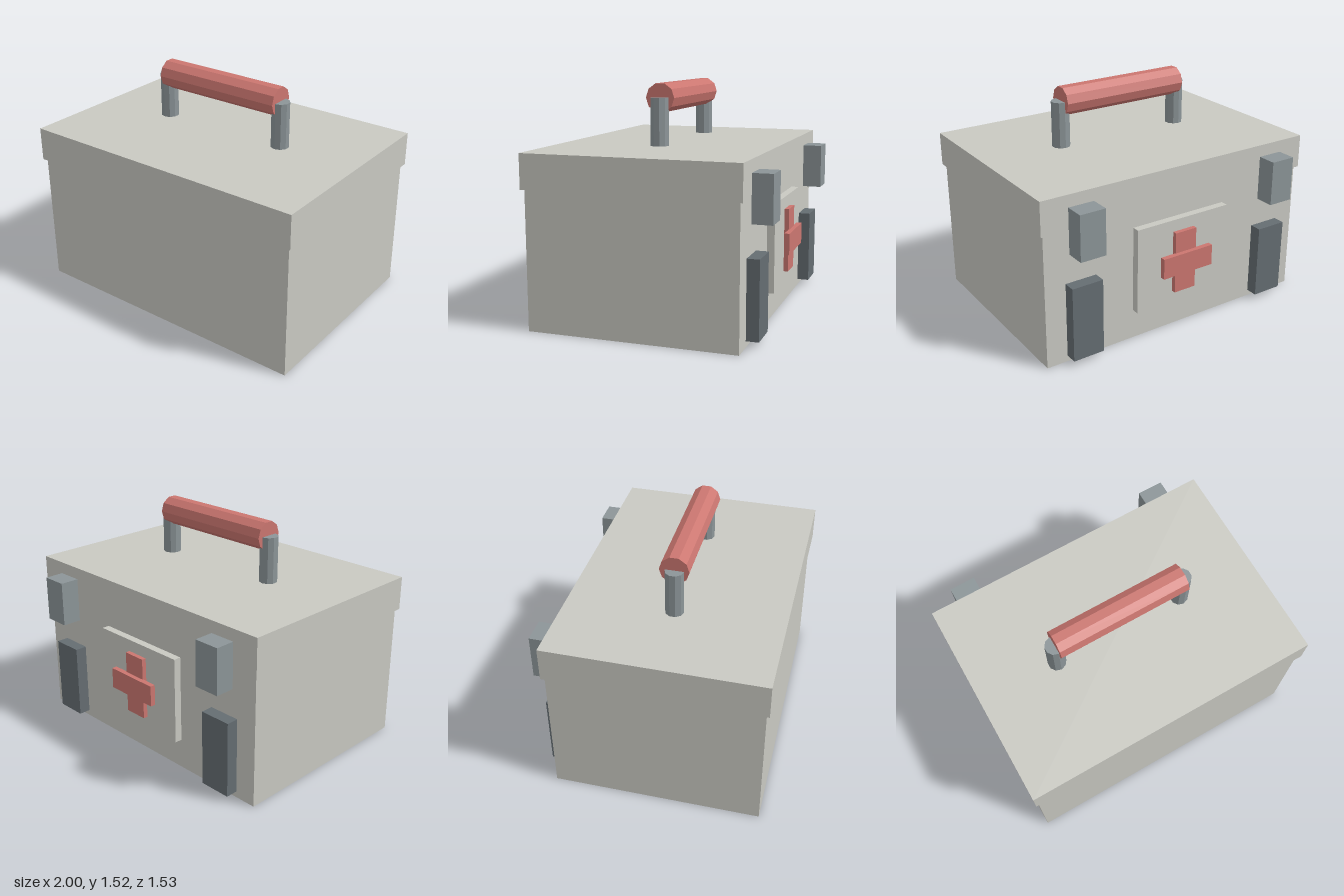
import * as THREE from 'three';

const paint = (name, color) => {
  const m = new THREE.MeshStandardMaterial({ color, flatShading: true });
  m.name = name;
  return m;
};

export function createModel() {
  const caseGrey = paint('case grey', 0xc9c9c2);
  const metal = paint('latch grey', 0x8c9598);
  const darkMetal = paint('dark grey', 0x656d72);
  const red = paint('red', 0xcb7670);

  const kit = new THREE.Group();
  kit.name = 'firstAidBox';

  const add = (name, geometry, material) => {
    const mesh = new THREE.Mesh(geometry, material);
    mesh.name = name;
    kit.add(mesh);
    return mesh;
  };

  // Box given by its extents on each axis
  const slab = (name, material, [x0, x1], [y0, y1], [z0, z1]) =>
    add(name, new THREE.BoxGeometry(x1 - x0, y1 - y0, z1 - z0), material)
      .position.set((x0 + x1) / 2, (y0 + y1) / 2, (z0 + z1) / 2);

  // Case
  slab('body', caseGrey, [-0.98, 0.98], [0, 0.895], [-0.615, 0.745]);
  slab('lid', caseGrey, [-1, 1], [0.895, 1.12], [-0.635, 0.765]);

  // Badge with a raised cross
  slab('badgePlate', caseGrey, [-0.35, 0.35], [0.2, 0.78], [-0.665, -0.615]);
  slab('crossUpright', red, [-0.08, 0.08], [0.28, 0.7], [-0.695, -0.665]);
  slab('crossBar', red, [-0.19, 0.19], [0.42, 0.56], [-0.725, -0.69]);

  // Grip: ten-sided bar lying along x
  const grip = add('handleGrip', new THREE.CylinderGeometry(0.095, 0.095, 0.9, 10), red);
  grip.rotation.z = Math.PI / 2;
  grip.position.set(0, 1.433, 0.063);

  // Mirrored latches and handle posts
  for (const [side, s] of [['left', 1], ['right', -1]]) {
    const cx = s * 0.73;
    slab(side + 'Latch', metal, [cx - 0.087, cx + 0.087], [0.74, 1.04], [-0.765, -0.636]);
    slab(side + 'Catch', darkMetal, [cx - 0.107, cx + 0.107], [0.04, 0.54], [-0.695, -0.615]);

    const post = add(side + 'HandlePost', new THREE.CylinderGeometry(0.06, 0.06, 0.303, 10), metal);
    post.position.set(s * 0.453, 1.283, 0.065);
  }

  return kit;
}
